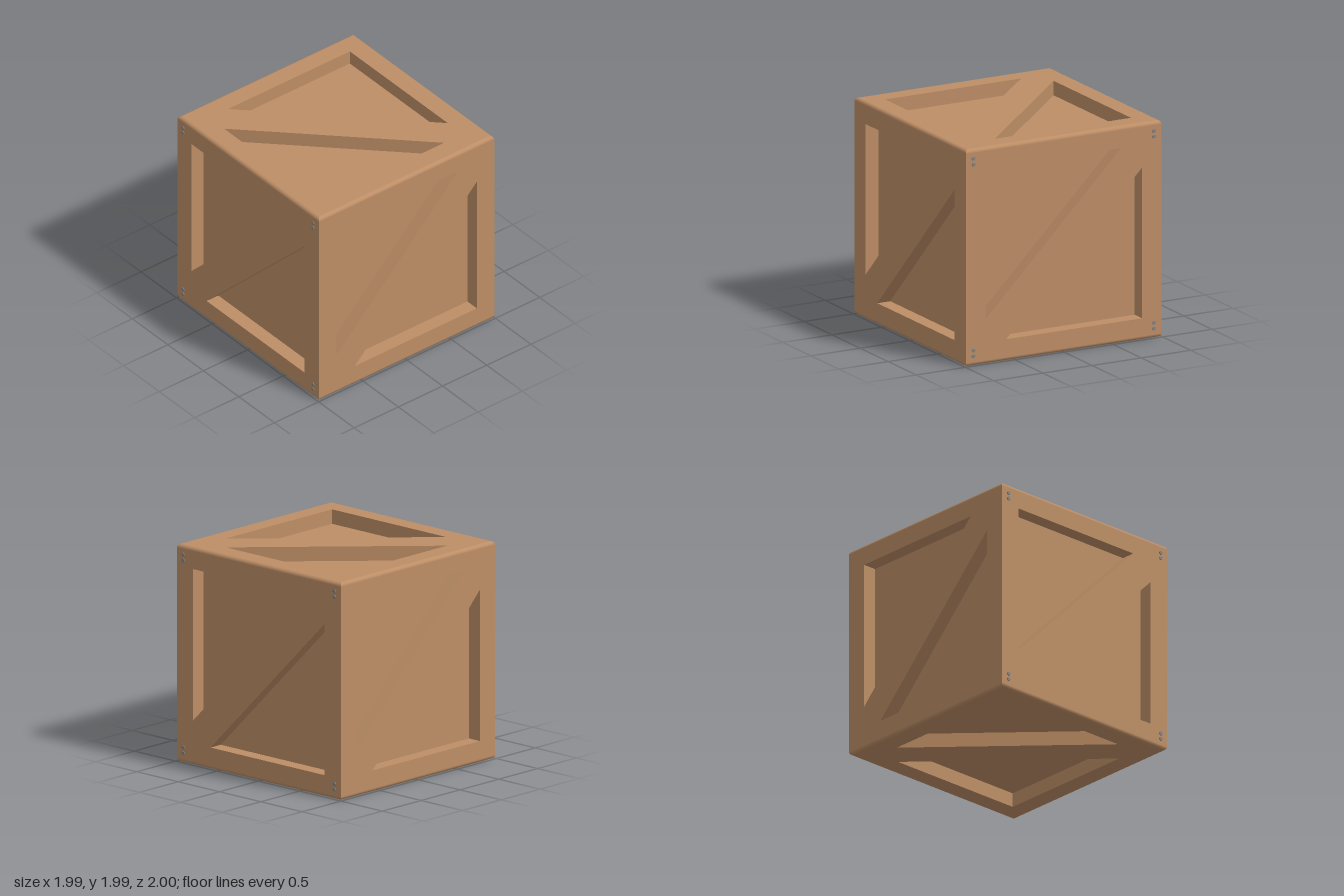
import * as THREE from 'three';

const H = 0.993;      // half size of the crate
const R = 0.035;      // rounding of the top and bottom edges
const DEPTH = 0.132;  // depth of the recesses
const IN = 0.795, END = 0.585; // triangle corner and tip positions

// the two triangular recesses beside the diagonal brace (counter-clockwise)
const TRIANGLES = [
  [[-IN, IN], [-IN, -END], [END, IN]],
  [[IN, -IN], [IN, END], [-END, -IN]],
].map((t) => t.map(([x, y]) => new THREE.Vector2(x, y)));

// walls of one recess, facing inwards
function pocketWalls(tri) {
  const pos = [];
  tri.forEach((a, i) => {
    const b = tri[(i + 1) % 3];
    const z0 = H - DEPTH;
    pos.push(a.x, a.y, H, b.x, b.y, z0, a.x, a.y, z0);
    pos.push(a.x, a.y, H, b.x, b.y, H, b.x, b.y, z0);
  });
  const g = new THREE.BufferGeometry();
  g.setAttribute('position', new THREE.Float32BufferAttribute(pos, 3));
  g.computeVertexNormals();
  return g;
}

// one face: frame with diagonal brace, and recessed boards behind it
function makeFace(name, w, h, wood) {
  const face = new THREE.Group();
  face.name = name;
  const add = (geo, part, z = 0) => {
    const m = new THREE.Mesh(geo, wood);
    m.name = part;
    m.position.z = z;
    face.add(m);
  };
  const outline = new THREE.Shape([
    new THREE.Vector2(-w, -h), new THREE.Vector2(w, -h),
    new THREE.Vector2(w, h), new THREE.Vector2(-w, h),
  ]);
  for (const tri of TRIANGLES) {
    outline.holes.push(new THREE.Path([...tri].reverse()));
    add(pocketWalls(tri), 'recessWalls');
    add(new THREE.ShapeGeometry(new THREE.Shape(tri)), 'recessedBoard', H - DEPTH);
  }
  add(new THREE.ShapeGeometry(outline), 'frame', H);
  return face;
}

// rounded, mitred strip along the top of one side
function roundedEdge() {
  const g = new THREE.PlaneGeometry(2, 1, 1, 6);
  const p = g.attributes.position, n = g.attributes.normal;
  for (let i = 0; i < p.count; i++) {
    const a = (p.getY(i) + 0.5) * Math.PI / 2;
    const out = H - R + R * Math.cos(a);
    n.setXYZ(i, 0, Math.sin(a), Math.cos(a));
    p.setXYZ(i, p.getX(i) * out, H - R + R * Math.sin(a), out);
  }
  return g;
}

export function createModel() {
  const wood = new THREE.MeshStandardMaterial({ color: 0xbd8e66 });
  wood.name = 'wood';
  const metal = new THREE.MeshStandardMaterial({ color: 0x808486 });
  metal.name = 'metal';

  const model = new THREE.Group();
  model.name = 'crate';
  const body = new THREE.Group();
  body.name = 'body';
  body.position.y = H;
  model.add(body);

  const edgeGeo = roundedEdge();
  const studGeo = new THREE.CylinderGeometry(0.017, 0.019, 0.012, 12).rotateX(Math.PI / 2);

  // four sides with their rounded top and bottom edges
  ['front', 'left', 'back', 'right'].forEach((name, k) => {
    const side = makeFace(name + 'Side', H, H - R, wood);
    side.rotation.y = k * Math.PI / 2;
    for (const turn of [0, Math.PI]) {
      const edge = new THREE.Mesh(edgeGeo, wood);
      edge.name = turn ? 'bottomEdge' : 'topEdge';
      edge.rotation.z = turn;
      side.add(edge);
    }
    // pairs of studs in the corners of the front and back
    if (k % 2 === 0) {
      for (const x of [-0.915, 0.915]) {
        for (const y of [-0.905, -0.853, 0.853, 0.905]) {
          const stud = new THREE.Mesh(studGeo, metal);
          stud.name = 'stud';
          stud.position.set(x, y, 0.994);
          side.add(stud);
        }
      }
    }
    body.add(side);
  });

  // lid and base
  const lid = makeFace('lid', H - R, H - R, wood);
  lid.rotation.x = -Math.PI / 2;
  const base = makeFace('base', H - R, H - R, wood);
  base.rotation.x = Math.PI / 2;
  body.add(lid, base);

  return model;
}
